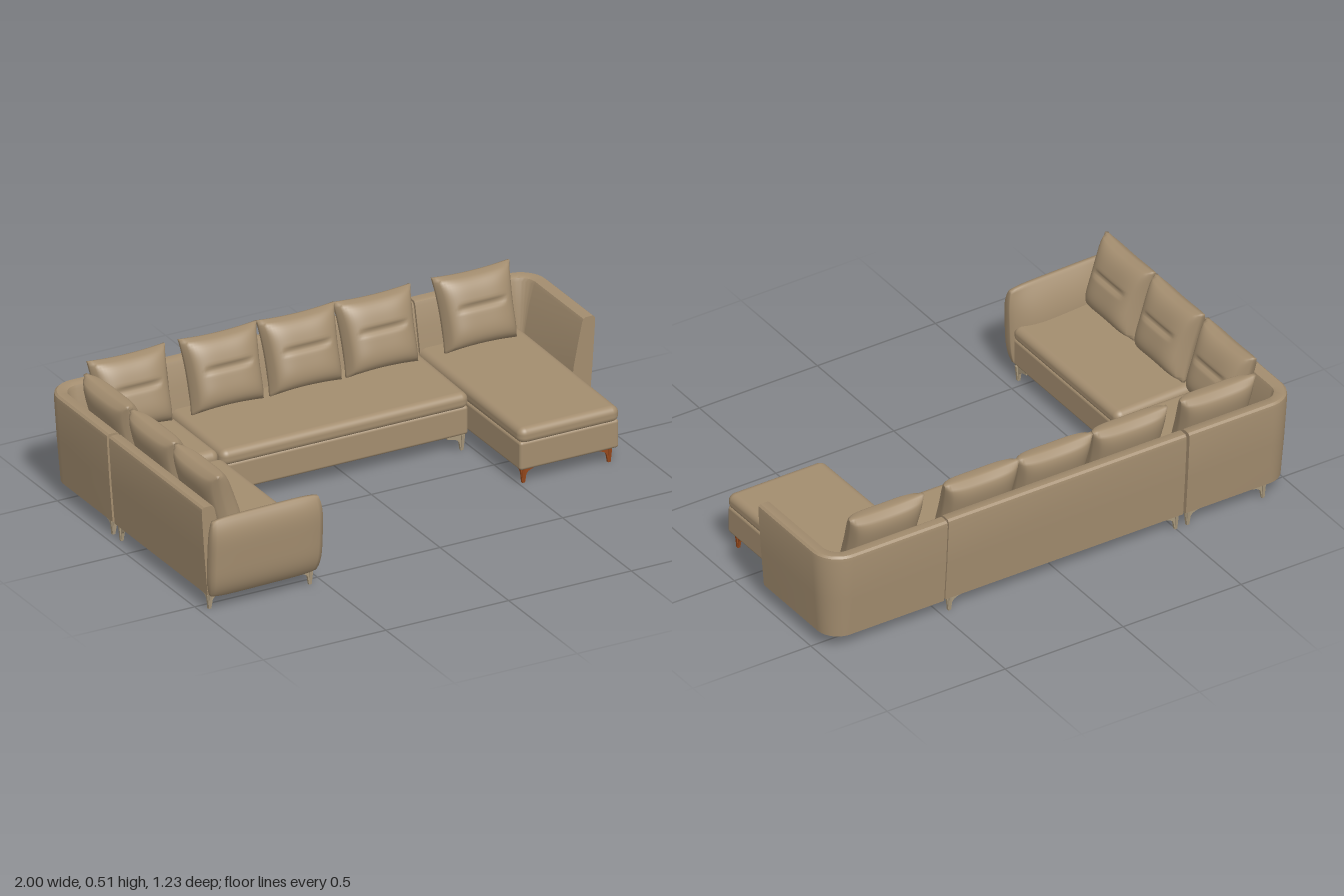
import * as THREE from 'three';
import { mergeVertices, toCreasedNormals } from 'three/addons/utils/BufferGeometryUtils.js';
import { RoundedBoxGeometry } from 'three/addons/geometries/RoundedBoxGeometry.js';

const fabric = new THREE.MeshStandardMaterial({ color: 0xa38d6f });
fabric.name = 'tanFabric';
const metal = new THREE.MeshStandardMaterial({ color: 0xa8987c });
metal.name = 'paleMetal';
const copper = new THREE.MeshStandardMaterial({ color: 0x96481c });
copper.name = 'brownLeg';

function add(parent, name, geometry, material = fabric) {
  const mesh = new THREE.Mesh(geometry, material);
  mesh.name = name;
  parent.add(mesh);
  return mesh;
}

// Wall cross-section: [inset from the outer top edge, height], outer face first
const WALL = [[0.025, 0.06], [0.012, 0.22], [0.001, 0.39], [0.003, 0.403], [0.011, 0.41], [0.04, 0.41],
  [0.049, 0.405], [0.054, 0.393], [0.072, 0.31], [0.088, 0.23], [0.098, 0.15], [0.098, 0.06]];

// Sweeps the cross-section along [x, z, angle of outward normal]
function wallGeometry(path) {
  const pos = [], index = [], n = WALL.length, last = path.length - 1;
  for (const [x, z, a] of path)
    for (const [inset, y] of WALL) pos.push(x - Math.cos(a) * inset, y, z - Math.sin(a) * inset);
  for (let i = 0; i < last; i++)
    for (let j = 0; j < n; j++) {
      const k = (j + 1) % n, a = i * n + j, b = i * n + k;
      index.push(a, b, a + n, b, b + n, a + n);
    }
  // End caps
  for (const i of [0, last]) {
    const [x, z, a] = path[i], c = pos.length / 3;
    pos.push(x - Math.cos(a) * 0.045, 0.2, z - Math.sin(a) * 0.045);
    for (let j = 0; j < n; j++) {
      const p = i * n + j, q = i * n + (j + 1) % n;
      if (i === 0) index.push(c, q, p); else index.push(c, p, q);
    }
  }
  const g = new THREE.BufferGeometry();
  g.setAttribute('position', new THREE.Float32BufferAttribute(pos, 3));
  g.setIndex(index);
  return toCreasedNormals(g, 0.6);
}

function arc(cx, cz, r, from, to) {
  return Array.from({ length: 13 }, (_, i) => {
    const a = from + (to - from) * i / 12;
    return [cx + r * Math.cos(a), cz + r * Math.sin(a), a];
  });
}

// Soft body: a subdivided block whose points are placed by rule(u, v, side), side from -1 to 1
function softGeometry(rule) {
  const g = new THREE.BoxGeometry(2, 2, 2, 28, 28, 2);
  g.deleteAttribute('uv');
  g.deleteAttribute('normal');
  const p = g.attributes.position;
  for (let i = 0; i < p.count; i++) p.setXYZ(i, ...rule(p.getX(i), p.getY(i), p.getZ(i)));
  const soft = mergeVertices(g);
  soft.computeVertexNormals();
  return soft;
}

// Back pillow with flared corners and a crease across its face
const pillowGeometry = softGeometry((u, v, side) => {
  const x = u * (0.142 + 0.006 * v + 0.009 * v * v);
  const y = v * (0.132 + 0.008 * u * u);
  const puff = Math.sqrt((1 - u ** 4) * (1 - v ** 4));
  const crease = 0.016 * Math.exp(-(((v - 0.12) / 0.07) ** 2)) * Math.max(0, 1 - u ** 4 * 4);
  const t = side > 0 ? 0.007 + puff * (0.062 - 0.012 * v) - crease : 0.007 + puff * 0.045;
  return [x, y, side * t];
});

// Plump end arm: gently curved outside, bulging inside
const endArmGeometry = softGeometry((u, v, side) => {
  const x = u * 0.229 * (1 - 0.05 * v ** 4);
  const y = v * 0.156 * (1 - 0.05 * u ** 6);
  const t = side > 0
    ? 0.008 + 0.032 * (1 - v ** 4) * (1 - 0.4 * u ** 6)
    : 0.008 + 0.05 * (1 - v * v) * (1 - u ** 4);
  return [x, y, side * t + 0.008 * v];
});

// One curved bracket of a leg, reaching along +x
const legShape = new THREE.Shape();
legShape.moveTo(-0.005, 0);
legShape.lineTo(0.006, 0);
legShape.lineTo(0.011, 0.03);
legShape.quadraticCurveTo(0.015, 0.048, 0.06, 0.054);
legShape.lineTo(0.06, 0.062);
legShape.lineTo(-0.012, 0.062);
legShape.closePath();
const bracketGeometry = new THREE.ExtrudeGeometry(legShape, { depth: 0.01, bevelEnabled: false, curveSegments: 8 });
bracketGeometry.translate(0, 0, -0.005);

function addLeg(parent, x, z, sx, sz, material) {
  const leg = new THREE.Group();
  leg.name = 'leg';
  leg.position.set(x, 0, z);
  add(leg, 'legBracketAcross', bracketGeometry, material).rotation.y = sx > 0 ? 0 : Math.PI;
  add(leg, 'legBracketAlong', bracketGeometry, material).rotation.y = -sz * Math.PI / 2;
  parent.add(leg);
}

function block(parent, name, [x0, x1], [y0, y1], [z0, z1], r, slope) {
  const h = y1 - y0;
  const g = new RoundedBoxGeometry(x1 - x0, h, z1 - z0, 5, r);
  // Top of a cushion falls a little towards the front edge
  if (slope) {
    const p = g.attributes.position;
    for (let i = 0; i < p.count; i++) {
      const f = slope === 'x' ? p.getX(i) / (x1 - x0) + 0.5 : p.getZ(i) / (z1 - z0) + 0.5;
      const up = p.getY(i) / h + 0.5;
      p.setY(i, p.getY(i) - 0.014 * f * up);
    }
  }
  add(parent, name, g).position.set((x0 + x1) / 2, (y0 + y1) / 2, (z0 + z1) / 2);
}

function seat(parent, xs, zs, slope) {
  block(parent, 'seatBase', [xs[0] + 0.003, xs[1] - 0.003], [0.06, 0.172], [zs[0] + 0.003, zs[1] - 0.006], 0.012);
  block(parent, 'seatCushion', xs, [0.163, 0.237], zs, 0.03, slope);
}

function addPillow(parent, x, z, turn) {
  const holder = new THREE.Group();
  holder.name = 'backPillow';
  holder.position.set(x, 0.37, z);
  holder.rotation.y = turn;
  add(holder, 'pillow', pillowGeometry).rotation.x = -0.28;
  parent.add(holder);
}

export function createModel() {
  const sofa = new THREE.Group();
  sofa.name = 'sectionalSofa';
  const part = (name) => {
    const g = new THREE.Group();
    g.name = name;
    sofa.add(g);
    return g;
  };
  const BACK = -Math.PI / 2, SIDE = -Math.PI;

  // Middle section
  const middle = part('middleSection');
  add(middle, 'backrest', wallGeometry([[-0.523, -0.61, BACK], [0.485, -0.61, BACK]]));
  seat(middle, [-0.525, 0.486], [-0.56, -0.148], 'z');
  for (const x of [-0.333, -0.015, 0.296]) addPillow(middle, x, -0.492, 0);
  for (const z of [-0.165, -0.57])
    for (const s of [1, -1]) addLeg(middle, s > 0 ? -0.5 : 0.46, z, s, z < -0.3 ? 1 : -1, metal);

  // Corner section
  const corner = part('cornerSection');
  add(corner, 'cornerBackrest', wallGeometry([[-1, -0.142, SIDE],
    ...arc(-0.89, -0.5, 0.11, SIDE, BACK), [-0.535, -0.61, BACK]]));
  seat(corner, [-0.95, -0.535], [-0.56, -0.142]);
  addPillow(corner, -0.705, -0.492, 0);
  addPillow(corner, -0.88, -0.288, Math.PI / 2);
  for (const [x, z, sx, sz] of [[-0.55, -0.165, -1, -1], [-0.55, -0.57, -1, 1], [-0.87, -0.57, 1, 1], [-0.96, -0.165, 1, -1]])
    addLeg(corner, x, z, sx, sz, metal);

  // Side section with its end arm
  const side = part('sideSection');
  add(side, 'sideBackrest', wallGeometry([[-1, 0.55, SIDE], [-1, -0.127, SIDE]]));
  seat(side, [-0.95, -0.537], [-0.13, 0.56], 'x');
  for (const z of [0.048, 0.37]) addPillow(side, -0.88, z, Math.PI / 2);
  const arm = add(side, 'endArm', endArmGeometry);
  arm.position.set(-0.758, 0.215, 0.57);
  arm.rotation.y = 0.03;
  for (const z of [0.535, -0.105])
    for (const s of [1, -1]) addLeg(side, s > 0 ? -0.96 : -0.55, z, s, z > 0 ? -1 : 1, metal);

  // Chaise section with wraparound arm
  const chaise = part('chaiseSection');
  add(chaise, 'wraparoundBackrest', wallGeometry([[0.493, -0.615, BACK],
    ...arc(0.89, -0.505, 0.11, BACK, 0), [1, -0.155, 0]]));
  seat(chaise, [0.49, 0.9], [-0.56, 0.21], 'z');
  addPillow(chaise, 0.7, -0.494, 0);
  for (const z of [0.175, -0.49])
    for (const s of [1, -1]) addLeg(chaise, s > 0 ? 0.52 : 0.87, z, s, z > 0 ? -1 : 1, copper);

  return sofa;
}
